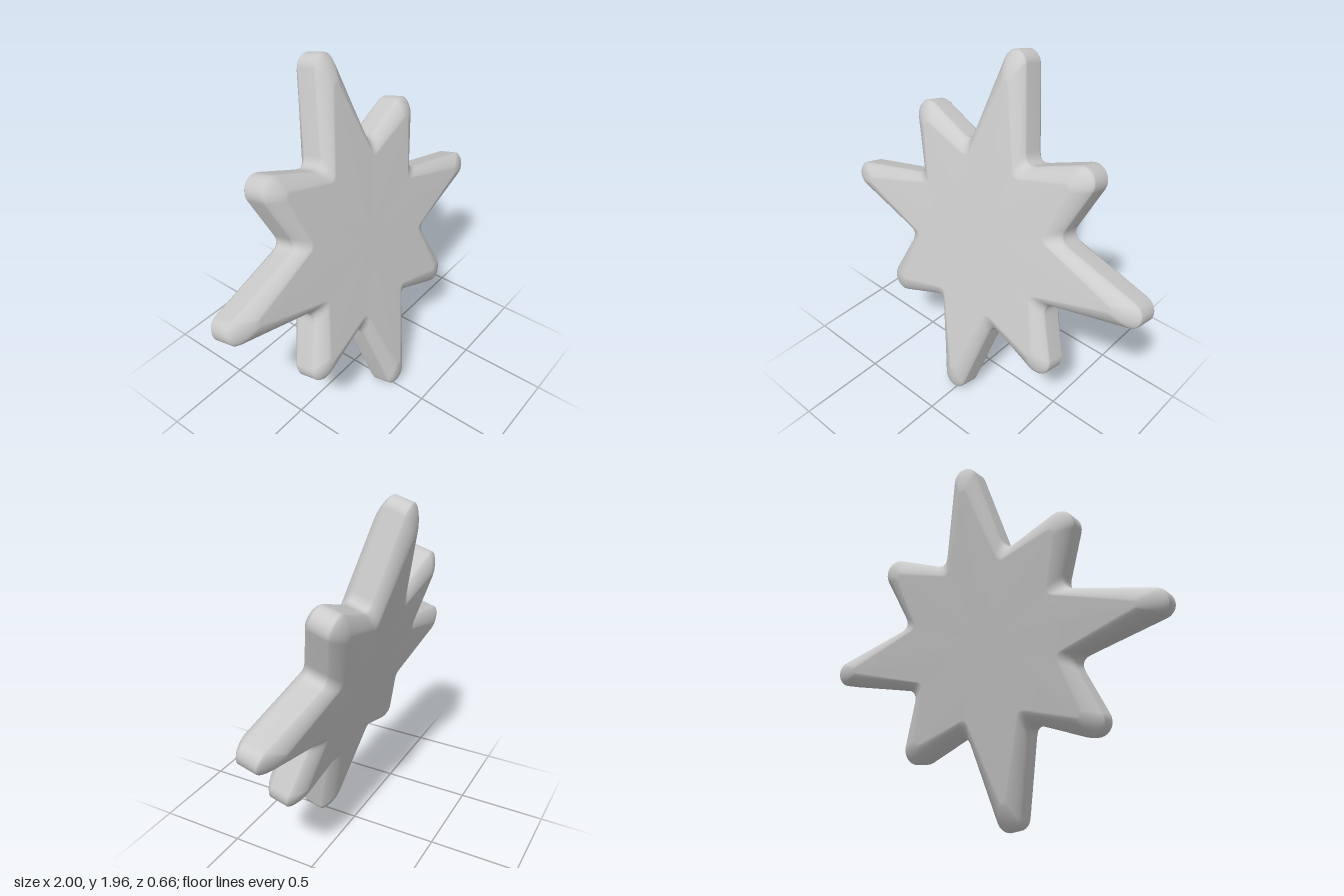
import * as THREE from 'three';

const ARC = 10, VALLEY = 5;

// Closed eight-pointed outline with rounded tips and filleted valleys.
// tips: [long, short] as { reach, radius }; valley: corner beside a long arm.
function starOutline(tips, valley, fillet) {
  const points = [];
  const corner = (k) => {
    // Valley between arm k and arm k + 1, mirrored for every second arm
    const off = Math.atan2(valley.x, valley.y);
    const angle = k * Math.PI / 4 + (k % 2 ? Math.PI / 4 - off : off);
    return new THREE.Vector2(Math.cos(angle), Math.sin(angle)).multiplyScalar(valley.length());
  };
  const arms = [];
  for (let k = 0; k < 8; k++) {
    const { reach, radius } = tips[k % 2];
    const axis = k * Math.PI / 4, c = reach - radius;
    const v = corner(k).rotateAround(new THREE.Vector2(), -axis);
    // Half angle of the arm: tangent from the valley corner to the tip circle
    const taper = Math.atan2(v.y, c - v.x) - Math.asin(radius / Math.hypot(c - v.x, v.y));
    const sweep = Math.PI / 2 - taper;
    const arc = [];
    for (let i = 0; i <= ARC; i++) {
      const a = axis - sweep + 2 * sweep * i / ARC;
      arc.push(new THREE.Vector2(
        c * Math.cos(axis) + radius * Math.cos(a),
        c * Math.sin(axis) + radius * Math.sin(a)));
    }
    arms.push(arc);
  }
  arms.forEach((arc, k) => {
    const v = corner(k), next = arms[(k + 1) % 8][0];
    const toward = (p) => p.clone().sub(v).setLength(fillet).add(v);
    const curve = new THREE.QuadraticBezierCurve(toward(arc[ARC]), v, toward(next));
    points.push(...arc, ...curve.getPoints(VALLEY));
  });
  return points;
}

function starGeometry() {
  const rim = starOutline(
    [{ reach: 1, radius: 0.07 }, { reach: 0.8, radius: 0.08 }],
    new THREE.Vector2(0.185, 0.465), 0.07);
  const face = starOutline(
    [{ reach: 0.84, radius: 0.015 }, { reach: 0.67, radius: 0.02 }],
    new THREE.Vector2(0.155, 0.39), 0.04);

  // Edge profile: [blend from face to rim, depth]
  const half = 0.112, wall = 0.052, steps = 6, power = 1.45;
  const bevel = [];
  for (let i = 0; i <= steps; i++) {
    const a = i / steps * Math.PI / 2;
    bevel.push([
      Math.pow(Math.sin(a), 2 / power),
      wall + (half - wall) * Math.pow(Math.max(0, Math.cos(a)), 2 / power)]);
  }
  const profile = [...bevel, ...bevel.map(([s, z]) => [s, -z]).reverse()];

  const n = rim.length, position = [], index = [];
  for (const [s, z] of profile) {
    for (let j = 0; j < n; j++) {
      const p = face[j].clone().lerp(rim[j], s);
      position.push(p.x, p.y, z);
    }
  }
  // Rounded edge between neighbouring rings
  for (let i = 0; i < profile.length - 1; i++) {
    for (let j = 0; j < n; j++) {
      const a = i * n + j, b = i * n + (j + 1) % n;
      index.push(a, a + n, b, b, a + n, b + n);
    }
  }
  // Flat front and back faces
  const front = profile.length * n, back = front + 1, last = (profile.length - 1) * n;
  position.push(0, 0, half, 0, 0, -half);
  for (let j = 0; j < n; j++) {
    const k = (j + 1) % n;
    index.push(front, j, k, back, last + k, last + j);
  }
  const geometry = new THREE.BufferGeometry();
  geometry.setAttribute('position', new THREE.Float32BufferAttribute(position, 3));
  geometry.setIndex(index);
  // Leaning back
  geometry.rotateX(-Math.PI / 12);
  geometry.computeVertexNormals();
  geometry.computeBoundingBox();
  geometry.translate(0, -geometry.boundingBox.min.y, 0);
  return geometry;
}

export function createModel() {
  const group = new THREE.Group();
  group.name = 'leaningStar';
  const star = new THREE.Mesh(starGeometry(), new THREE.MeshStandardMaterial({ color: 0xcccccc }));
  star.name = 'eightPointedStar';
  group.add(star);
  return group;
}
